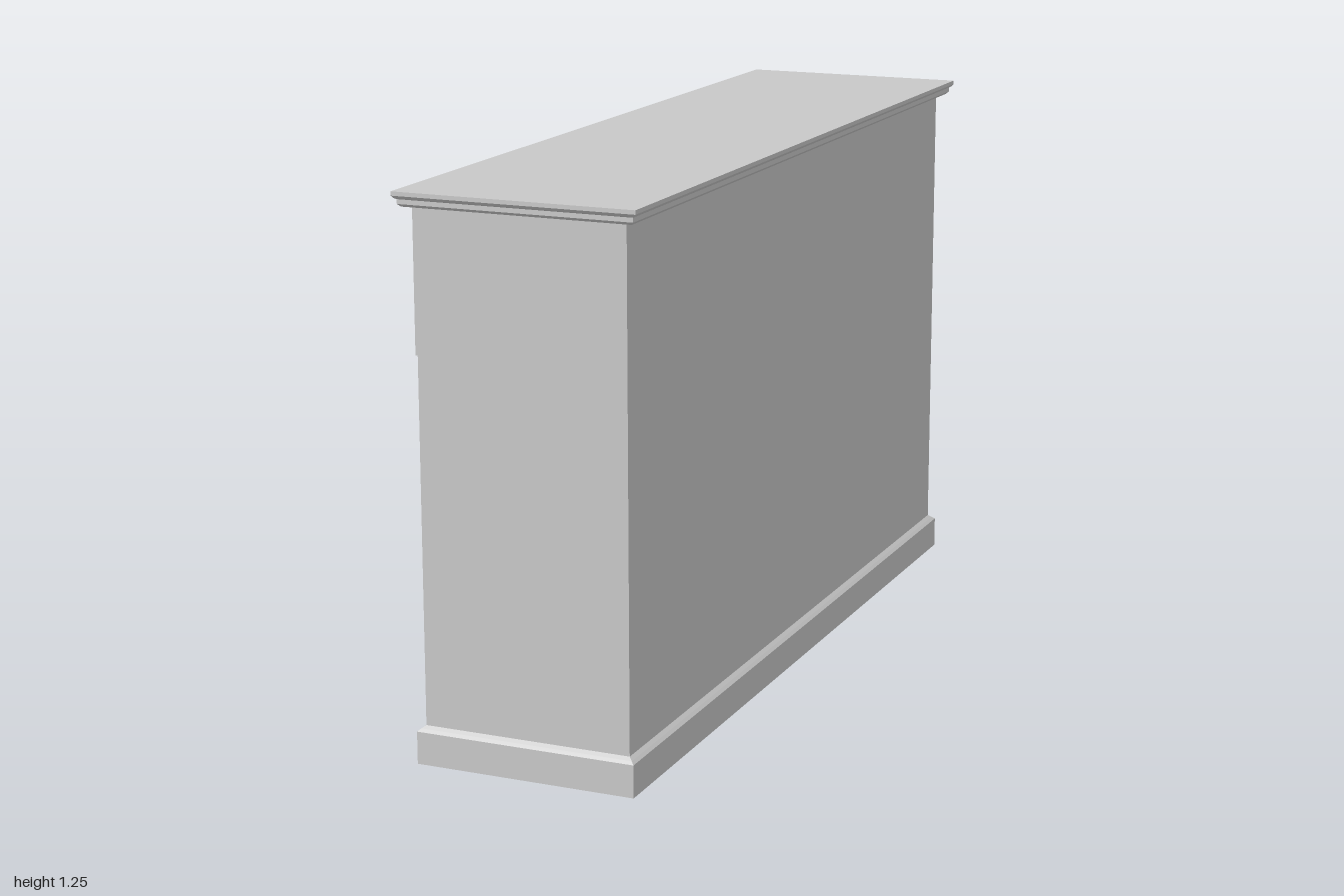
import * as THREE from 'three';

const CX = 0.0185, HX = 0.2385, HZ = 0.965; // carcass centre and half sizes
const FRONT = CX - HX;                      // the drawer side faces -x

export function createModel() {
  const model = new THREE.Group();
  const paint = new THREE.MeshStandardMaterial({ color: 0xc8c8c8, side: THREE.DoubleSide });
  paint.name = 'grey paint';
  const copper = new THREE.MeshStandardMaterial({ color: 0xb87350 });
  copper.name = 'copper';

  const add = (name, geo, mat = paint, parent = model) => {
    const mesh = new THREE.Mesh(geo, mat);
    mesh.name = name;
    parent.add(mesh);
    return mesh;
  };
  // box given by its limits
  const box = (name, x0, x1, y0, y1, z0, z1, parent) =>
    add(name, new THREE.BoxGeometry(x1 - x0, y1 - y0, z1 - z0), paint, parent)
      .position.set((x0 + x1) / 2, (y0 + y1) / 2, (z0 + z1) / 2);

  // moulding: [offset, y] profile carried round the carcass rectangle
  const moulding = (name, profile) => {
    const pos = [];
    const corners = [[-1, -1], [-1, 1], [1, 1], [1, -1]];
    const at = ([o, y], [sx, sz]) => [CX + sx * (HX + o), y, sz * (HZ + o)];
    for (let i = 0; i < profile.length - 1; i++) {
      for (let k = 0; k < 4; k++) {
        const c = corners[k], d = corners[(k + 1) % 4];
        const a = at(profile[i], c), b = at(profile[i], d);
        const e = at(profile[i + 1], d), f = at(profile[i + 1], c);
        pos.push(...a, ...b, ...e, ...a, ...e, ...f);
      }
    }
    const geo = new THREE.BufferGeometry();
    geo.setAttribute('position', new THREE.Float32BufferAttribute(pos, 3));
    geo.computeVertexNormals();
    return add(name, geo);
  };

  // plate on the drawer side: outline and holes as [z0, y0, z1, y1], growing towards -x
  const rect = (T, [z0, y0, z1, y1]) => new T([
    new THREE.Vector2(z0, y0), new THREE.Vector2(z1, y0),
    new THREE.Vector2(z1, y1), new THREE.Vector2(z0, y1)]);
  const plate = (name, outline, holes, xBack, depth) => {
    const shape = rect(THREE.Shape, outline);
    for (const h of holes) shape.holes.push(rect(THREE.Path, h));
    const geo = new THREE.ExtrudeGeometry(shape, { depth, bevelEnabled: false });
    geo.rotateY(-Math.PI / 2).translate(xBack, 0, 0);
    return add(name, geo);
  };

  // plinth shell and cornice
  moulding('plinth', [[0.015, 0], [0.015, 0.073], [0.008, 0.079], [0, 0.085]]);
  moulding('cornice', [[-0.01, 1.21], [0.02, 1.212], [0.026, 1.218], [0.026, 1.228],
    [0.03, 1.23], [0.035, 1.236], [0.035, 1.245]]);
  const top = HX + 0.035;
  box('top', CX - top, CX + top, 1.236, 1.245, -1, 1);

  // carcass
  const t = 0.035, back = CX + HX;
  for (const s of [-1, 1]) {
    const z = s * (HZ - t / 2);
    box(s > 0 ? 'leftSide' : 'rightSide', FRONT + 0.02, back, 0.08, 1.22, z - t / 2, z + t / 2);
  }
  box('backPanel', back - 0.025, back, 0.08, 1.22, -HZ + t, HZ - t);
  const inner = HZ - t;
  const openings = [[-inner, 0.12, inner, 0.46], [-inner, 0.505, inner, 0.845]];
  plate('faceFrame', [-HZ, 0.08, HZ, 1.22], openings, FRONT + 0.02, 0.02);
  for (const [name, y0, y1] of [['floor', 0.1, 0.12], ['shelf', 0.46, 0.505], ['drawerRail', 0.845, 0.87]])
    box(name, FRONT + 0.02, back - 0.025, y0, y1, -inner, inner);

  // stepped trim round the open shelves
  plate('shelfTrim', [-0.945, 0.105, 0.945, 0.86], openings, FRONT, 0.007);
  plate('shelfTrimBead', [-0.941, 0.109, 0.941, 0.856], openings, FRONT - 0.007, 0.004);

  // drawers with raised panels and round knobs
  for (let i = -1; i <= 1; i++) {
    const c = i * 0.6425, drawer = new THREE.Group();
    drawer.name = 'drawer';
    model.add(drawer);
    drawer.add(
      plate('drawerFront', [c - 0.304, 0.892, c + 0.304, 1.205], [], FRONT, 0.015),
      plate('drawerPanel', [c - 0.29, 0.905, c + 0.29, 1.191], [], FRONT - 0.015, 0.008));
    const knob = add('knob', new THREE.SphereGeometry(0.025, 20, 14), copper, drawer);
    knob.position.set(-0.27, 1.044, c - 0.013);
    const stem = add('knobStem', new THREE.CylinderGeometry(0.01, 0.01, 0.03, 12), copper, drawer);
    stem.rotation.z = Math.PI / 2;
    stem.position.set(-0.252, 1.044, c - 0.013);
  }
  return model;
}
